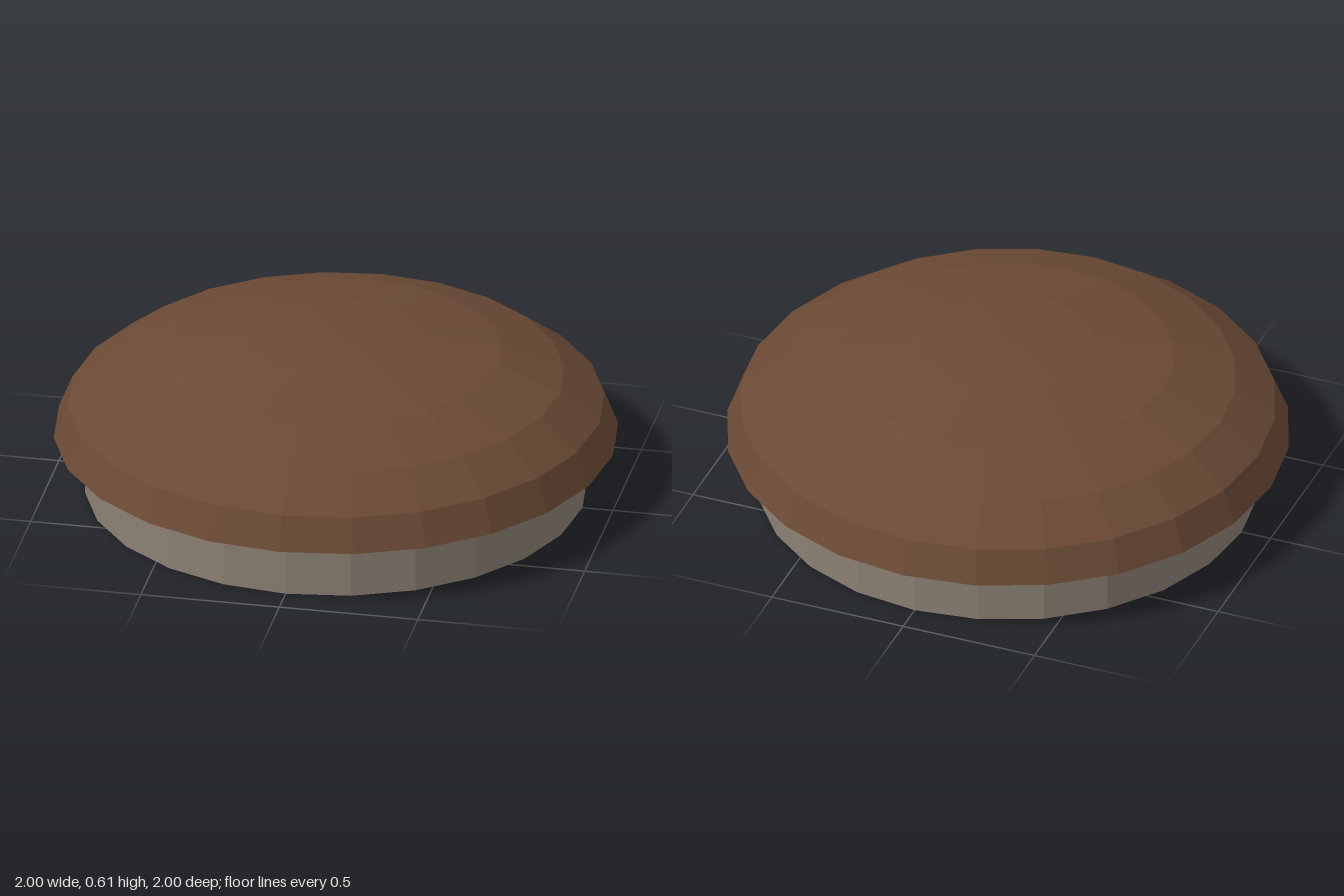
import * as THREE from 'three';

const SIDES = 24;
const BASE_RADIUS = 0.89;
const BASE_HEIGHT = 0.217;
const DOME_HEIGHT = 0.388;

const material = (color) =>
  new THREE.MeshStandardMaterial({ color, flatShading: true, side: THREE.DoubleSide });

export function createModel() {
  const group = new THREE.Group();
  const stone = material(0x8c8073);
  const brown = material(0x6b4a35);

  const add = (name, geometry, mat) => {
    const mesh = new THREE.Mesh(geometry, mat);
    mesh.name = name;
    group.add(mesh);
    return mesh;
  };

  // Base ring, open at the bottom
  add('baseWall',
    new THREE.CylinderGeometry(BASE_RADIUS, BASE_RADIUS, BASE_HEIGHT, SIDES, 1, true)
      .translate(0, BASE_HEIGHT / 2, 0), stone);

  // Disc closing the top of the ring
  add('baseCeiling',
    new THREE.CircleGeometry(BASE_RADIUS, SIDES)
      .rotateX(-Math.PI / 2).translate(0, BASE_HEIGHT, 0), stone);

  // Flattened half-sphere, a hollow shell overhanging the ring
  add('dome',
    new THREE.SphereGeometry(1, SIDES, 5, 0, Math.PI * 2, 0, Math.PI / 2)
      .scale(1, DOME_HEIGHT, 1).translate(0, BASE_HEIGHT, 0), brown);

  return group;
}
